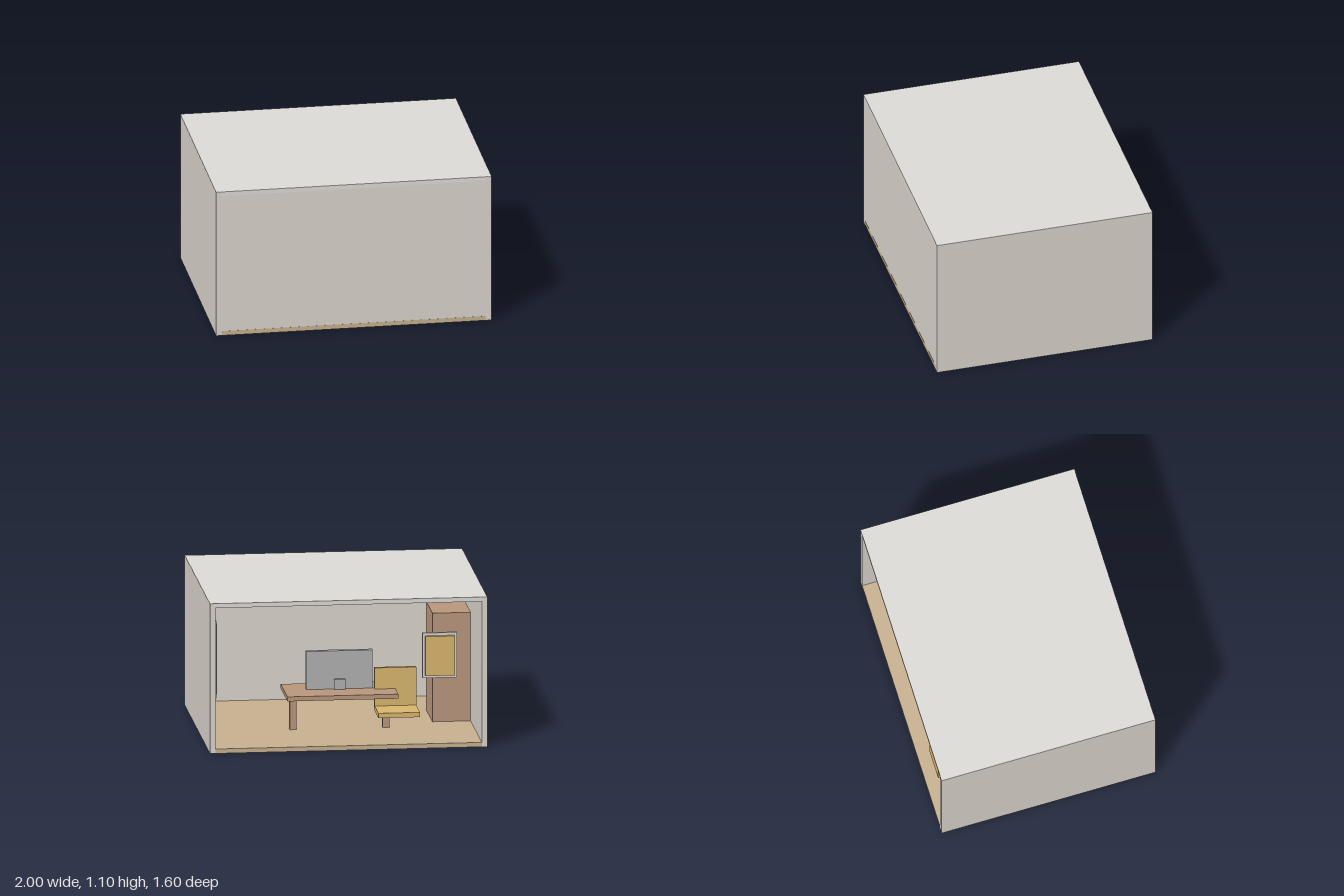
import * as THREE from 'three';

const material = (color) => new THREE.MeshStandardMaterial({ color });
const wallMat = material(0xd9d3cb);
const ceilingMat = material(0xdbdad6);
const floorMat = material(0xc6b08f);
const woodMat = material(0xb8967b);
const goldMat = material(0xd8b56c);
const screenMat = material(0xb0b0b0);
const glassMat = material(0xc8d0de);

// Box given by its extents along each axis
function box(name, mat, [x0, x1], [y0, y1], [z0, z1]) {
  const mesh = new THREE.Mesh(new THREE.BoxGeometry(x1 - x0, y1 - y0, z1 - z0), mat);
  mesh.position.set((x0 + x1) / 2, (y0 + y1) / 2, (z0 + z1) / 2);
  mesh.name = name;
  return mesh;
}

function group(name, ...parts) {
  const g = new THREE.Group();
  g.name = name;
  g.add(...parts);
  return g;
}

// Room shell, open at the back; tiny offsets keep faces from coinciding
function createShell() {
  return group('roomShell',
    box('floor', floorMat, [-0.999, 0.999], [0, 0.033], [-0.8, 0.8]),
    box('ceiling', ceilingMat, [-0.999, 0.999], [1.067, 1.1], [-0.8, 0.8]),
    box('frontWall', wallMat, [-0.998, 0.998], [0.002, 1.098], [0.76, 0.799]),
    box('leftWall', wallMat, [0.96, 1], [0.001, 1.099], [-0.801, 0.801]),
    box('rightWall', wallMat, [-1, -0.96], [0.001, 1.099], [-0.801, 0.801]));
}

// Window on the inside of the left wall
function createWindow() {
  return group('window',
    box('windowFrame', wallMat, [0.932, 0.96], [0.36, 0.93], [-0.61, 0]),
    box('windowPane', glassMat, [0.926, 0.94], [0.385, 0.905], [-0.585, -0.025]));
}

// Framed picture hanging at the open back
function createPicture() {
  return group('picture',
    box('pictureFrame', wallMat, [-0.79, -0.54], [0.5, 0.83], [-0.73, -0.705]),
    box('pictureCanvas', goldMat, [-0.77, -0.56], [0.52, 0.81], [-0.757, -0.73]));
}

// Desk on two legs
function createDesk() {
  const desk = group('desk',
    box('deskTop', woodMat, [-0.4, 0.4], [0.287, 0.32], [-0.435, -0.01]));
  for (const side of [-1, 1]) {
    const x = side * 0.335;
    desk.add(box('deskLeg', woodMat, [x - 0.025, x + 0.025], [0.002, 0.287], [-0.235, -0.185]));
  }
  return desk;
}

// Monitor with its stand at the back
function createMonitor() {
  return group('monitor',
    box('monitorPanel', screenMat, [-0.24, 0.24], [0.32, 0.6], [-0.215, -0.175]),
    box('monitorStand', screenMat, [-0.04, 0.04], [0.32, 0.395], [-0.235, -0.19]));
}

// Chair of seat and backrest
function createChair() {
  return group('chair',
    box('seat', goldMat, [-0.55, -0.25], [0.16, 0.195], [-0.49, -0.22]),
    box('backrest', goldMat, [-0.55, -0.25], [0.195, 0.475], [-0.25, -0.22]));
}

export function createModel() {
  return group('furnishedRoom',
    createShell(), createWindow(), createPicture(), createDesk(), createMonitor(), createChair(),
    box('cabinet', woodMat, [-0.96, -0.685], [0.002, 0.83], [-0.09, 0.31]));
}
